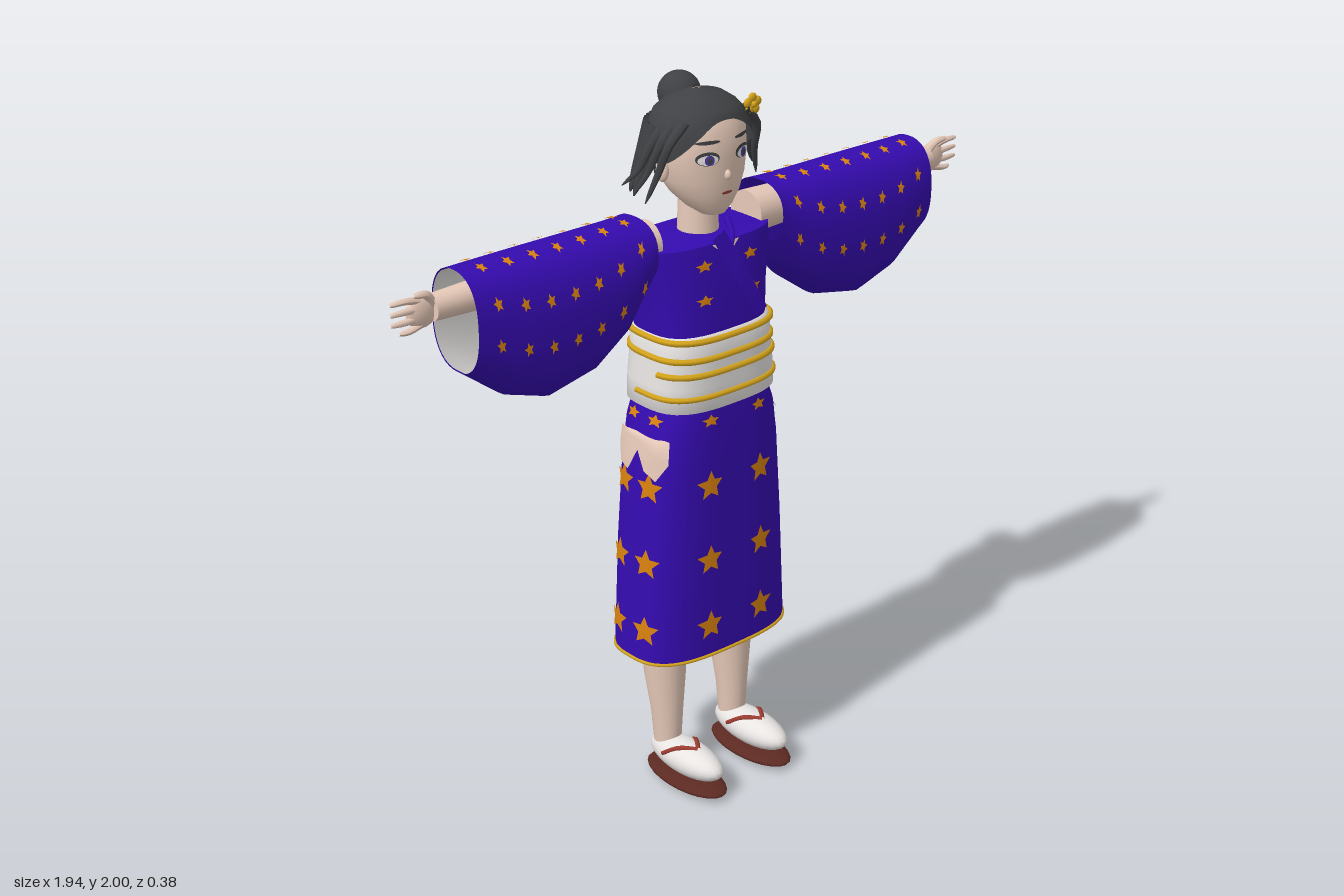
import * as THREE from 'three';
import { mergeGeometries } from 'three/addons/utils/BufferGeometryUtils.js';

const V = (x, y, z) => new THREE.Vector3(x, y, z);
const mat = (name, color, side = THREE.FrontSide) => {
  const m = new THREE.MeshStandardMaterial({ color, side });
  m.name = name;
  return m;
};

// Section table [s, a, b, c] read at s by linear interpolation
function at(table, s) {
  let i = 0;
  while (i < table.length - 2 && s > table[i + 1][0]) i++;
  const p = table[i], q = table[i + 1];
  const t = THREE.MathUtils.clamp((s - p[0]) / (q[0] - p[0]), 0, 1);
  return p.map((v, k) => v + (q[k] - v) * t);
}
const radius = (u, a, b, n) =>
  Math.pow(Math.pow(Math.abs(Math.cos(u)) / a, n) + Math.pow(Math.abs(Math.sin(u)) / b, n), -1 / n);
// Surfaces S(angle, s): rounded sections stacked along y, or along x
const upright = (table, n) => (u, s) => {
  const [, a, b, c] = at(table, s), r = radius(u, a, b, n);
  return V(r * Math.cos(u), s, c + r * Math.sin(u));
};
const sideways = (table, n, z, grow = 1) => (u, s) => {
  const [, a, b, c] = at(table, s), r = radius(u, a, b, n) * grow;
  return V(s, c + r * Math.cos(u), z - r * Math.sin(u));
};

// Grid of a surface over the given rows; flip turns it inside out
function grid(S, rows, { cols = 48, span = Math.PI * 2, closed = true, flip = false } = {}) {
  const pos = [], idx = [], w = closed ? cols : cols + 1;
  for (const s of rows) for (let i = 0; i < w; i++) pos.push(...S((i / cols) * span, s).toArray());
  for (let j = 0; j < rows.length - 1; j++) for (let i = 0; i < cols; i++) {
    const k = (i + 1) % w, a = j * w + i, b = a + w, c = j * w + k, d = c + w;
    idx.push(...(flip ? [a, c, b, c, d, b] : [a, b, c, c, b, d]));
  }
  return build(pos, idx);
}
function build(pos, idx) {
  const g = new THREE.BufferGeometry();
  g.setAttribute('position', new THREE.Float32BufferAttribute(pos, 3));
  g.setIndex(idx);
  g.computeVertexNormals();
  return g;
}
const keys = (table) => table.map((r) => r[0]);

// Thin painted shape that follows a surface
function decal(S, u0, s0, outline, lift = 0.005) {
  const e = 1e-3, rings = 3, n = outline.length;
  const ku = S(u0 + e, s0).distanceTo(S(u0 - e, s0)) / (2 * e);
  const ks = S(u0, s0 + e).distanceTo(S(u0, s0 - e)) / (2 * e);
  const point = (p, q) => {
    const u = u0 + p / ku, s = s0 + q / ks;
    const du = S(u + e, s).sub(S(u - e, s)), ds = S(u, s + e).sub(S(u, s - e));
    return S(u, s).addScaledVector(ds.cross(du).normalize(), lift).toArray();
  };
  const pos = [...point(0, 0)], idx = [];
  for (let r = 1; r <= rings; r++) for (const [p, q] of outline) pos.push(...point((p * r) / rings, (q * r) / rings));
  for (let i = 0; i < n; i++) {
    const k = (i + 1) % n;
    idx.push(0, 1 + k, 1 + i);
    for (let r = 0; r < rings - 1; r++) {
      const a = 1 + r * n + i, b = 1 + r * n + k;
      idx.push(a, b, a + n, b, b + n, a + n);
    }
  }
  return build(pos, idx);
}
const ring = (n, f) => Array.from({ length: n }, (_, i) => f(i, (i / n) * Math.PI * 2));
const star = (rx, ry = rx) => ring(10, (i, t) => {
  const k = i % 2 ? 0.48 : 1;
  return [k * rx * Math.sin(-t), k * ry * Math.cos(t)];
});
const oval = (rx, ry) => ring(16, (i, t) => [rx * Math.cos(t), ry * Math.sin(t)]);

// Tapering strand, used for hair and fingers
function strand(points, r, tip = 0.1) {
  const curve = new THREE.CatmullRomCurve3(points), n = 10, m = 8;
  const g = new THREE.TubeGeometry(curve, n, r, m), p = g.attributes.position, v = V(0, 0, 0);
  for (let j = 0; j <= n; j++) for (let i = 0; i <= m; i++) {
    const k = j * (m + 1) + i, c = curve.getPointAt(j / n);
    v.fromBufferAttribute(p, k).sub(c).multiplyScalar(tip + (1 - tip) * Math.sqrt(1 - j / n)).add(c);
    p.setXYZ(k, v.x, v.y, v.z);
  }
  g.computeVertexNormals();
  return g;
}
// Cord laid around a surface between two angles
function cord(S, s, r, from = 0, to = Math.PI * 2) {
  const closed = to - from > 6.2, pts = [];
  for (let i = 0; i < 40 + (closed ? 0 : 1); i++) pts.push(S(from + ((to - from) * i) / 40, s));
  return new THREE.TubeGeometry(new THREE.CatmullRomCurve3(pts, closed), 80, r, 6, closed);
}
const ball = (r, s, p) => new THREE.SphereGeometry(r, 24, 16).scale(...s).translate(...p);

export function createModel() {
  const model = new THREE.Group();
  const kimono = mat('indigo cloth', 0x350bb0, THREE.DoubleSide), orange = mat('orange print', 0xd9820f);
  const gold = mat('gold cord', 0xd6a51c), white = mat('white cloth', 0xebe8e6), skin = mat('skin', 0xe6c9b8);
  const hair = mat('dark hair', 0x404144), brown = mat('brown sole', 0x5c2a22), red = mat('red strap', 0x9a3b30);
  const iris = mat('violet iris', 0x4b3a9a);
  const add = (name, geo, material, parent = model) => {
    const m = new THREE.Mesh(Array.isArray(geo) ? mergeGeometries(geo) : geo, material);
    m.name = name;
    parent.add(m);
    return m;
  };

  // Skirt with hem, stars and hip patches
  const skirtT = [[0.42, 0.255, 0.146, -0.04], [0.75, 0.237, 0.145, -0.04], [1.0, 0.219, 0.141, -0.038],
    [1.1, 0.203, 0.138, -0.036], [1.17, 0.178, 0.132, -0.036]];
  const skirt = upright(skirtT, 3);
  add('skirt', grid(skirt, keys(skirtT)), kimono);
  add('skirtHem', cord(skirt, 0.423, 0.005), gold);
  const columns = [];
  for (const s of [1, -1]) for (const t of [1, -1]) columns.push([s * 0.088, t * 0.14], [s * 0.24, t * 0.053]);
  const skirtStars = [];
  for (const [x, z] of columns) for (const [y, rx, ry] of [[0.52, 0.043, 0.045], [0.72, 0.042, 0.044], [0.94, 0.042, 0.044], [1.125, 0.028, 0.018]])
    skirtStars.push(decal(skirt, Math.atan2(z, x), y, star(rx, ry), 0.006));
  add('skirtStars', skirtStars, orange);
  const patch = [[0.1, 0.01], [0.055, 0.02], [-0.095, 0.02], [-0.095, -0.045], [-0.065, -0.095], [-0.03, -0.075],
    [0, -0.025], [0.03, -0.09], [0.065, -0.08], [0.095, -0.03]];
  add('hipPatches', [0, Math.PI].map((u) => decal(skirt, u, 1.06, patch, 0.008)), skin);

  // Bodice with shoulders, stars and crossed collar
  const bodiceT = [[1.34, 0.176, 0.125, -0.038], [1.45, 0.185, 0.124, -0.044], [1.55, 0.204, 0.114, -0.046], [1.595, 0.21, 0.106, -0.048]];
  const bodice = upright(bodiceT, 3);
  add('bodice', grid(bodice, keys(bodiceT)), kimono);
  const shoulderT = [[1.595, 0.21, 0.106, -0.048], [1.605, 0.04, 0.04, -0.045]];
  add('shoulders', grid(upright(shoulderT, 3), keys(shoulderT)), kimono);
  const bodiceStars = [];
  for (const s of [1, -1]) for (const t of [1, -1]) for (const y of [1.455, 1.545])
    bodiceStars.push(decal(bodice, Math.atan2(t * 0.115, s * 0.08), y, star(0.028, 0.016)));
  add('bodiceStars', bodiceStars, orange);
  add('neckline', decal(bodice, Math.PI / 2, 1.58, [[0.045, 0.013], [-0.045, 0.013], [0, -0.025]]), skin);
  const band = (pts, w) => {
    const c = new THREE.CatmullRomCurve3(pts), side = V(w * 0.9, w * 0.43, 0);
    return grid((u, s) => c.getPoint(s).addScaledVector(side, u - 0.5), [0, 0.2, 0.4, 0.6, 0.8, 1], { cols: 1, span: 1, closed: false });
  };
  add('outerCollar', band([V(-0.03, 1.62, 0.07), V(0.025, 1.51, 0.094), V(0.087, 1.39, 0.106)], 0.045), kimono);
  add('innerCollar', strand([V(0.052, 1.63, 0.01), V(0.03, 1.6, 0.055), V(0, 1.56, 0.072)], 0.009, 0.6), kimono);

  // Sash with gold cords
  const sashT = [[1.15, 0.17, 0.125, -0.036], [1.156, 0.2, 0.141, -0.036], [1.22, 0.197, 0.14, -0.036],
    [1.3, 0.187, 0.138, -0.036], [1.358, 0.186, 0.138, -0.036], [1.362, 0.168, 0.12, -0.038]];
  const sash = upright(sashT, 3);
  add('sash', grid(sash, keys(sashT)), white);
  add('sashCords', [cord(sash, 1.352, 0.009), cord(sash, 1.3, 0.009), cord(sash, 1.258, 0.009, 0.25, 2.9),
    cord(sash, 1.195, 0.008, -0.15, 3.29)], gold);

  // Sleeves, arms and hands
  const sleeveT = [[0.215, 0.083, 0.095, 1.602], [0.3, 0.148, 0.105, 1.537], [0.4, 0.183, 0.112, 1.502],
    [0.54, 0.198, 0.114, 1.488], [0.66, 0.178, 0.11, 1.507], [0.78, 0.133, 0.095, 1.552]];
  const sleeve = sideways(sleeveT, 2.4, -0.045), lining = sideways(sleeveT, 2.4, -0.045, 0.97);
  for (const s of [1, -1]) {
    const arm = new THREE.Group();
    arm.name = s > 0 ? 'leftArm' : 'rightArm';
    arm.scale.x = s;
    model.add(arm);
    add('sleeve', grid(sleeve, keys(sleeveT)), kimono, arm);
    add('sleeveLining', grid(lining, [0.54, 0.66, 0.779], { flip: true }), white, arm);
    const stars = [];
    for (const t of [1, -1]) for (const [dy, dz] of [[0.19, 0.04], [0.09, 0.11], [-0.03, 0.113]])
      for (let i = 0; i < 7; i++) stars.push(decal(sleeve, Math.atan2(t * dz, dy), 0.27 + i * 0.075, star(0.02, 0.015)));
    add('sleeveStars', stars, orange, arm);
    add('arm', new THREE.CylinderGeometry(0.034, 0.06, 0.68, 20).rotateZ(-Math.PI / 2).translate(0.51, 1.605, -0.045), skin, arm);
    const fingers = [0, 1, 2, 3].map((i) => {
      const k = 1.5 - i, reach = i === 3 ? 0.945 : 0.968;
      return strand([V(0.87, 1.602 + k * 0.018, -0.045), V(0.92, 1.602 + k * 0.026, -0.04), V(reach, 1.602 + k * 0.026, -0.042)], 0.011, 0.4);
    });
    const thumb = strand([V(0.845, 1.615, -0.04), V(0.87, 1.648, -0.03), V(0.91, 1.655, -0.025)], 0.013, 0.4);
    add('hand', [ball(1, [0.045, 0.042, 0.018], [0.875, 1.603, -0.045]), ...fingers, thumb], skin, arm);
  }

  // Legs, socks and sandals
  const legT = [[0.1, 0.036, 0.042, -0.04], [0.2, 0.043, 0.048, -0.042], [0.32, 0.058, 0.06, -0.05], [0.46, 0.064, 0.064, -0.052]];
  for (const s of [1, -1]) {
    const leg = new THREE.Group();
    leg.name = s > 0 ? 'leftLeg' : 'rightLeg';
    leg.position.x = s * 0.122;
    model.add(leg);
    add('shin', grid(upright(legT, 2), keys(legT), { cols: 24 }), skin, leg);
    add('sole', ball(1, [0.07, 0.02, 0.15], [0, 0.022, 0.042]), brown, leg);
    add('sock', ball(1, [0.058, 0.047, 0.14], [0, 0.083, 0.042]), white, leg);
    add('strap', [1, -1].map((t) => strand([V(0, 0.124, 0.09), V(t * 0.032, 0.122, 0.045), V(t * 0.056, 0.095, 0)], 0.008, 0.7)), red, leg);
  }

  // Neck, head and ears
  add('neck', new THREE.CylinderGeometry(0.05, 0.056, 0.15, 24).translate(0, 1.65, -0.045), skin);
  const headT = [[1.658, 0.012, 0.012, 0.015], [1.664, 0.035, 0.035, 0.01], [1.685, 0.063, 0.06, -0.004], [1.72, 0.094, 0.085, -0.02],
    [1.76, 0.116, 0.1, -0.032], [1.82, 0.128, 0.108, -0.038], [1.88, 0.126, 0.108, -0.041],
    [1.93, 0.104, 0.09, -0.045], [1.962, 0.06, 0.055, -0.048], [1.974, 0.01, 0.01, -0.05]];
  const head = upright(headT, 2.1);
  add('head', grid(head, keys(headT)), skin);
  add('ears', [1, -1].map((s) => ball(1, [0.014, 0.032, 0.02], [s * 0.128, 1.79, -0.035])), skin);

  // Painted face
  const face = (x, y, rx, ry, lift) => decal(head, Math.atan2(0.095, x), y, oval(rx, ry), lift);
  const pair = (f) => [1, -1].map(f);
  add('eyeOutlines', pair((s) => face(s * 0.056, 1.826, 0.033, 0.018, 0.002)), hair);
  add('eyeWhites', pair((s) => face(s * 0.056, 1.823, 0.028, 0.013, 0.004)), white);
  add('irises', pair((s) => face(s * 0.053, 1.823, 0.013, 0.013, 0.006)), iris);
  add('pupils', pair((s) => face(s * 0.053, 1.823, 0.006, 0.007, 0.008)), hair);
  add('eyebrows', pair((s) => face(s * 0.054, 1.868, 0.034, 0.005, 0.003)), hair);
  add('nose', ball(1, [0.009, 0.014, 0.012], [0, 1.775, 0.068]), skin);
  add('mouth', face(0, 1.728, 0.017, 0.004, 0.003), red);

  // Hair cap whose lower edge rises over the forehead
  const cap = (u, t) => {
    const c = Math.cos(u) ** 2, low = Math.sin(u) > 0 ? 1.915 - 0.105 * c ** 1.3 : 1.75 + 0.06 * c;
    const p = head(u, low + (1.974 - low) * t);
    return V(p.x * 1.13, 1.82 + (p.y - 1.82) * 1.03, -0.045 + (p.z + 0.045) * 1.12);
  };
  add('hairCap', grid(cap, [0, 0.15, 0.3, 0.45, 0.6, 0.75, 0.9, 1]), mat('dark hair', 0x404144, THREE.DoubleSide)).material = hair;
  hair.side = THREE.DoubleSide;
  add('bun', ball(0.057, [1, 1, 1], [0.015, 1.943, -0.133]), hair);
  const backHair = [];
  for (let i = 0; i <= 18; i++) {
    const u = 0.1 + (i / 18) * (Math.PI - 0.2), c = Math.cos(u), z = Math.sin(u);
    backHair.push(strand([V(0.125 * c, 1.9, -0.055 - 0.09 * z), V(0.15 * c, 1.82, -0.06 - 0.105 * z),
      V(0.182 * c, 1.72 + 0.012 * (i % 2), -0.075 - 0.105 * z)], 0.021));
  }
  add('backHair', backHair, hair);
  const locks = [];
  for (const s of [1, -1]) for (const k of [0, 1, 2])
    locks.push(strand([V(s * 0.1, 1.92, 0.02 - k * 0.03), V(s * 0.148, 1.87, 0.015 - k * 0.03),
      V(s * (0.165 + k * 0.008), 1.79, -0.01 - k * 0.03), V(s * (0.19 + k * 0.013), 1.715 + k * 0.02, -0.03 - k * 0.03)], 0.014));
  add('sideLocks', locks, hair);

  // Flower hairpin
  const petals = ring(5, (i, t) => ball(0.013, [1, 1, 0.6], [0.125 + 0.017 * Math.sin(t), 1.925 + 0.017 * Math.cos(t), 0.025]));
  add('hairFlower', [...petals, ball(0.01, [1, 1, 1], [0.125, 1.925, 0.028]), strand([V(0.11, 1.92, 0.02), V(0.14, 1.9, 0.015), V(0.148, 1.885, 0.01)], 0.006)], gold);
  return model;
}
